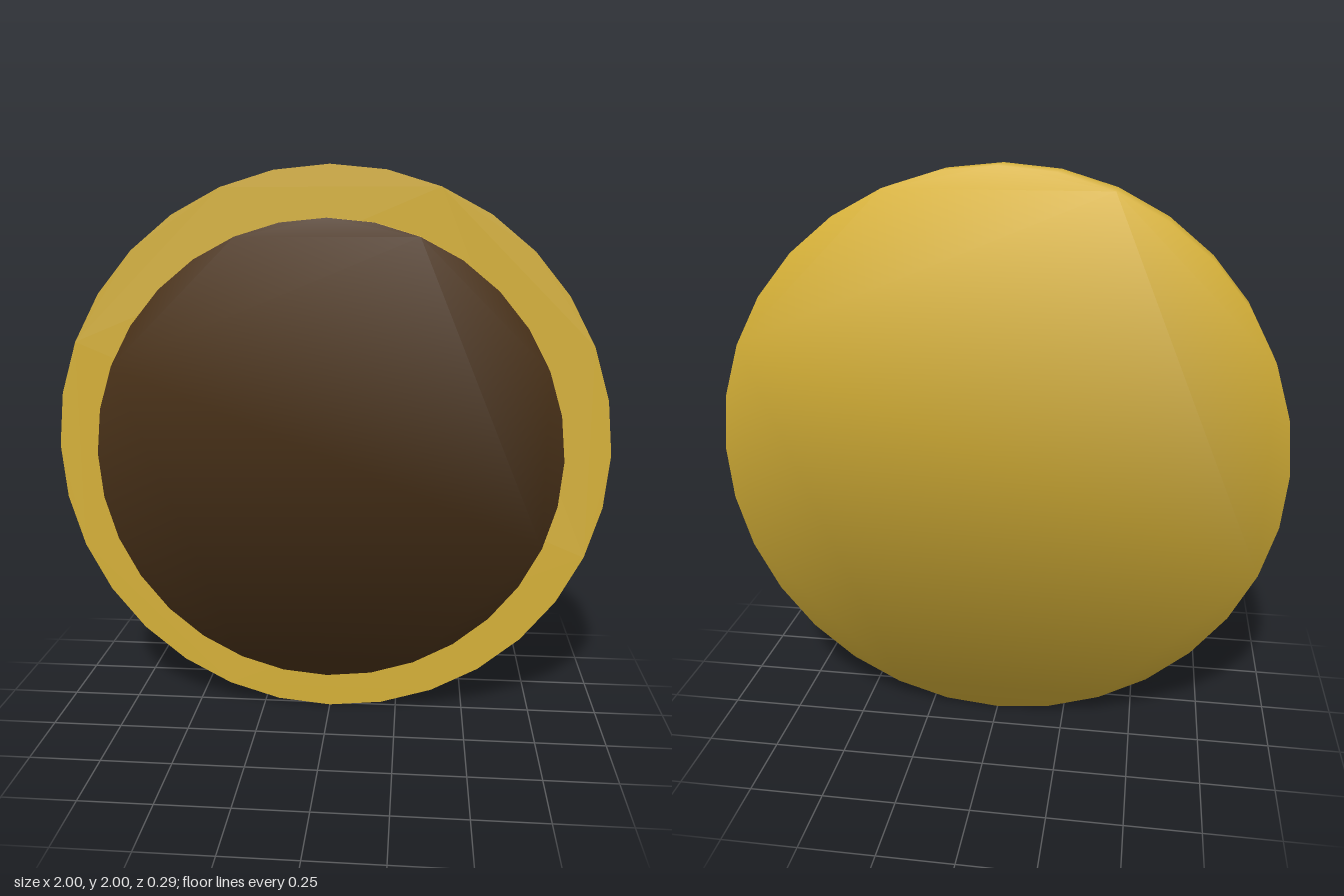
import * as THREE from 'three';

const SIDES = 32;
const STEP = (Math.PI * 2) / SIDES;
const BACK = -0.143, SEAM = 0.018, FRONT = 0.143;
const FLANGE_R = 1, DRUM_R = 0.82;

// Polygonal disc facing +z, without a centre vertex
function disc(radius) {
  const points = [];
  for (let i = 0; i < SIDES; i++) {
    points.push(new THREE.Vector2(radius * Math.cos(i * STEP), radius * Math.sin(i * STEP)));
  }
  return new THREE.ShapeGeometry(new THREE.Shape(points));
}

// Open band round the z axis between two depths
function band(radius, z0, z1, segments = SIDES, start = 0) {
  const g = new THREE.CylinderGeometry(radius, radius, z1 - z0, segments, 1, true, start, segments * STEP);
  return g.rotateX(Math.PI / 2).translate(0, 0, (z0 + z1) / 2);
}

// Lean the normals at one depth outwards, so a cap and its band shade as one surface
function softenRim(g, radius, z, dir) {
  const p = g.attributes.position, n = new THREE.Vector3();
  for (let i = 0; i < p.count; i++) {
    if (Math.abs(p.getZ(i) - z) > 1e-4) continue;
    n.set(p.getX(i) / radius, p.getY(i) / radius, dir).normalize();
    g.attributes.normal.setXYZ(i, n.x, n.y, n.z);
  }
  return g;
}

export function createModel() {
  const model = new THREE.Group();
  model.name = 'roundCap';
  const gold = new THREE.MeshStandardMaterial({ color: 0xd4af37, side: THREE.DoubleSide });
  const dark = new THREE.MeshStandardMaterial({ color: 0x4a3219, side: THREE.DoubleSide });

  const add = (name, geometry, material) => {
    const mesh = new THREE.Mesh(geometry, material);
    mesh.name = name;
    mesh.position.y = 1;
    model.add(mesh);
  };

  // Wide flange: rim, back plate and flat front plate
  add('flangeRim', softenRim(band(FLANGE_R, BACK, SEAM), FLANGE_R, BACK, -1), gold);
  add('flangeBack', softenRim(disc(FLANGE_R).rotateY(Math.PI).translate(0, 0, BACK), FLANGE_R, BACK, -1), gold);
  add('flangeFront', disc(FLANGE_R).translate(0, 0, SEAM), gold);

  // Narrower drum: its wall leaves one side open as a slot on the left
  const slotEnd = Math.PI / 2 + 2 * STEP;
  add('drumWall', softenRim(band(DRUM_R, SEAM, FRONT, SIDES - 1, slotEnd), DRUM_R, FRONT, 1), gold);
  add('drumFace', softenRim(disc(DRUM_R).translate(0, 0, FRONT), DRUM_R, FRONT, 1), dark);

  return model;
}
